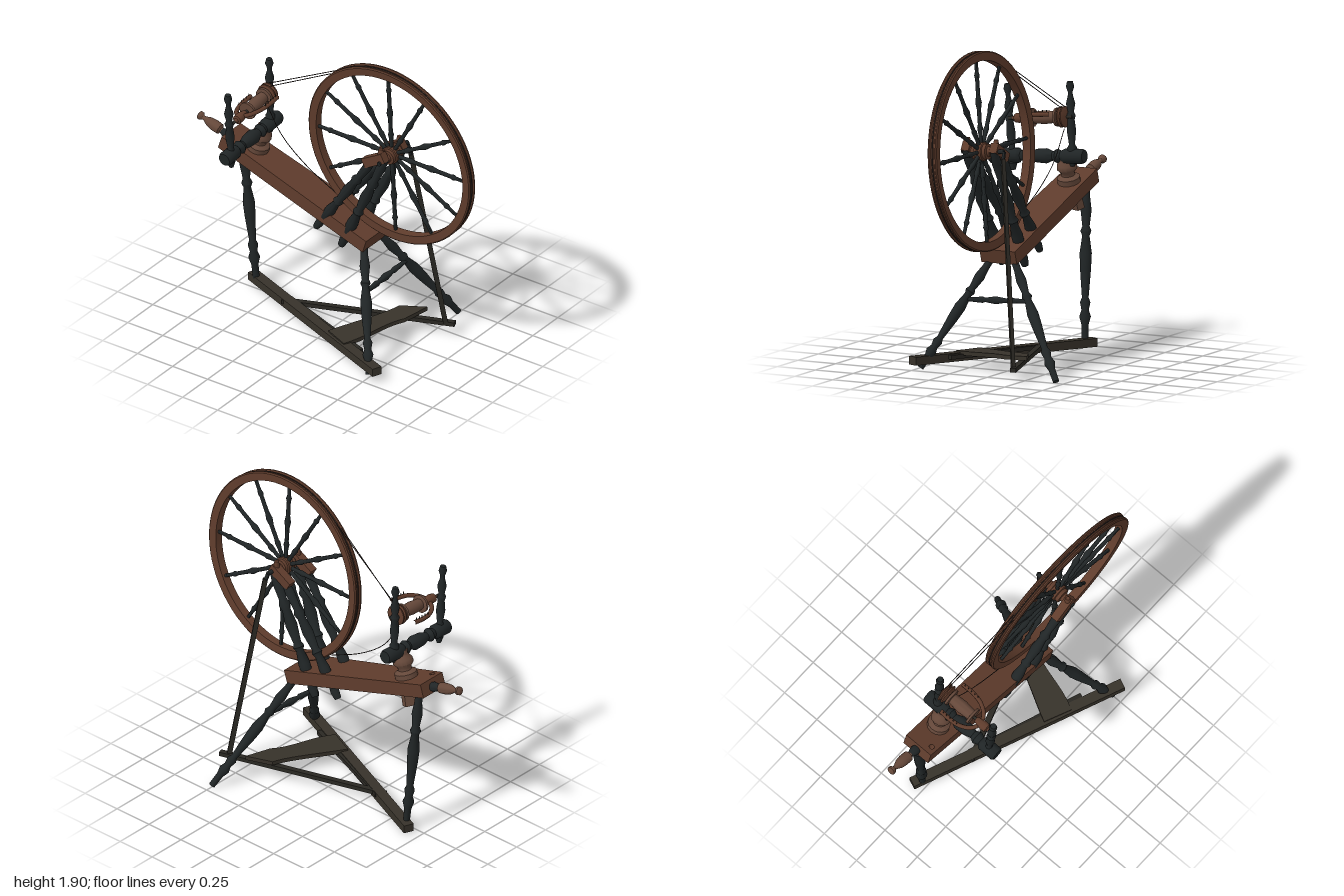
import * as THREE from 'three';
import { toCreasedNormals } from 'three/addons/utils/BufferGeometryUtils.js';

const V = (x, y, z) => new THREE.Vector3(x, y, z);
const mat = (name, color, side = THREE.FrontSide) => {
  const m = new THREE.MeshStandardMaterial({ color, side });
  m.name = name;
  return m;
};

// Lathe profiles: [position along the part 0..1, fraction of the full radius]
const P = {
  spoke: [[0, .7], [.12, .7], [.2, 1], [.24, .7], [.42, .75], [.5, 1.15], [.58, .75], [.78, .7], [.82, 1], [.86, .65], [1, .6]],
  leg: [[0, .55], [.1, .6], [.15, .95], [.19, .6], [.24, .85], [.27, .55], [.45, .9], [.55, 1], [.66, .6], [.69, .9], [.72, .6], [.82, .9], [.9, .65], [1, .6]],
  post: [[0, .6], [.06, .8], [.12, .55], [.16, .9], [.26, 1], [.36, .65], [.39, .95], [.42, .65], [.56, 1], [.68, .7], [.72, 1], [.76, .65], [.9, .85], [1, .6]],
  maiden: [[0, .45], [.08, .9], [.12, .5], [.16, 1], [.22, 1], [.26, .6], [.42, .95], [.55, .7], [.6, .95], [.64, .6], [.74, .95], [.84, .5], [.88, .5], [.94, .85], [1, .6]],
  rail: [[0, .85], [.02, 1], [.2, 1], [.23, .65], [.29, .95], [.34, .6], [.42, .9], [.54, 1], [.62, .6], [.67, .95], [.72, .7], [.77, 1], [.97, 1], [1, .85]],
  stretcher: [[0, .5], [.15, .6], [.3, .8], [.34, .55], [.5, 1], [.66, .55], [.7, .8], [.85, .6], [1, .5]],
  handle: [[0, .45], [.2, .5], [.24, .95], [.45, 1], [.62, .85], [.78, .4], [.84, .4], [.9, .75], [.97, .75], [1, .4]],
  vase: [[0, .6], [.1, 1], [.28, 1], [.36, .6], [.45, .6], [.58, .9], [.72, .85], [.85, .55], [1, .6]],
  plain: [[0, 1], [1, 1]],
  taper: [[0, .25], [.2, .5], [.25, .9], [.5, 1], [.75, .85], [1, .6]],
  hub: [[0, .5], [.12, .55], [.14, .85], [.3, .85], [.33, 1], [.67, 1], [.7, .85], [.86, .85], [.88, .55], [1, .5]],
  bobbin: [[0, 1.3], [.08, 1.3], [.1, .8], [.5, .95], [.9, .8], [.92, 1.3], [1, 1.3]],
  whorl: [[0, .6], [.2, 1], [.35, 1], [.5, .8], [.65, 1], [.8, 1], [1, .5]],
};

export function createModel() {
  const model = new THREE.Group();
  model.name = 'spinningWheel';
  const brown = mat('brownWood', 0x5f3c2c);
  const light = mat('wornBrownWood', 0x65483a);
  const dark = mat('blackenedWood', 0x202526);
  const olive = mat('footWood', 0x37322a);
  const rodWood = mat('rodWood', 0x2a2823);
  const thread = mat('thread', 0x2b2320);

  const add = (geo, m, name, parent = model) => {
    const mesh = new THREE.Mesh(geo, m);
    mesh.name = name;
    parent.add(mesh);
    return mesh;
  };
  // Turned part running from a to b
  const turned = (name, a, b, r, profile, m, parent = model, sides = 14) => {
    const L = a.distanceTo(b);
    const pts = profile.map(([t, k]) => new THREE.Vector2(k * r, t * L));
    pts.unshift(new THREE.Vector2(0, 0));
    pts.push(new THREE.Vector2(0, L));
    const mesh = add(toCreasedNormals(new THREE.LatheGeometry(pts, sides), 0.8), m, name, parent);
    mesh.position.copy(a);
    mesh.quaternion.setFromUnitVectors(V(0, 1, 0), b.clone().sub(a).normalize());
    return mesh;
  };
  // Square beam running from a to b
  const beam = (name, a, b, w, h, m) => {
    const mesh = add(new THREE.BoxGeometry(w, h, a.distanceTo(b)), m, name);
    mesh.position.copy(a).lerp(b, .5);
    mesh.lookAt(b);
    return mesh;
  };
  const tube = (name, pts, r, m, n = 24) =>
    add(new THREE.TubeGeometry(new THREE.CatmullRomCurve3(pts), n, r, 6), m, name);

  // Drive wheel: rim, band grooves, hub, axle and twelve spokes
  const wheel = new THREE.Group();
  wheel.name = 'driveWheel';
  wheel.position.set(-.085, 1.3, .412);
  wheel.rotation.set(0, -.02, .068);
  model.add(wheel);
  const rimProfile = [[.53, -.026], [.578, -.03], [.585, -.024], [.585, -.016], [.578, -.01], [.578, .01],
    [.585, .016], [.585, .024], [.578, .03], [.53, .026], [.53, -.026]].map(p => new THREE.Vector2(...p));
  const rim = new THREE.LatheGeometry(rimProfile, 72);
  rim.rotateZ(-Math.PI / 2);
  add(toCreasedNormals(rim, .6), brown, 'rim', wheel);
  const groove = new THREE.TorusGeometry(.579, .004, 6, 72);
  groove.rotateY(Math.PI / 2);
  add(groove, thread, 'wheelBand', wheel);
  turned('hub', V(-.065, 0, 0), V(.065, 0, 0), .055, P.hub, brown, wheel);
  turned('axle', V(-.13, 0, 0), V(.15, 0, 0), .013, P.plain, dark, wheel);
  for (let i = 0; i < 12; i++) {
    const a = i * Math.PI / 6, s = Math.sin(a), c = Math.cos(a);
    turned('spoke', V(0, s * .04, c * .04), V(0, s * .535, c * .535), .017, P.spoke, dark, wheel, 10);
  }

  // Sloping table board with a hole near the raised end
  const board = new THREE.Shape([[-.117, 0], [.117, 0], [.095, 1.1], [-.095, 1.1]].map(p => new THREE.Vector2(...p)));
  const hole = new THREE.Path();
  hole.absarc(-.06, 1.05, .016, 0, Math.PI * 2, true);
  board.holes.push(hole);
  const boardGeo = new THREE.ExtrudeGeometry(board, { depth: .085, bevelEnabled: false });
  boardGeo.rotateX(-Math.PI / 2);
  const table = add(boardGeo, brown, 'table');
  table.position.set(-.05, .62, .26);
  table.rotation.x = .309;

  // End handle with a dark neck
  turned('handleNeck', V(-.045, .98, -.75), V(-.045, 1.005, -.83), .03, P.taper, dark);
  turned('tensionHandle', V(-.045, .995, -.795), V(-.04, 1.055, -1), .034, P.handle, light);

  // Three legs and the stretcher
  turned('frontLegLeft', V(.455, 0, .5), V(.03, .65, .23), .034, P.leg, dark);
  turned('frontLegRight', V(-.44, .01, .5), V(-.11, .65, .23), .034, P.leg, dark);
  turned('backLeg', V(.03, .04, -.64), V(0, .96, -.715), .036, P.leg, dark);
  turned('stretcher', V(-.25, .405, .33), V(.18, .425, .33), .023, P.stretcher, dark);

  // Wheel posts, braces and bearing blocks on both sides of the wheel
  for (const [low, high] of [[-.125, -.18], [.025, .005]]) {
    turned('wheelPost', V(low, .59, .08), V(high, 1.31, .43), .035, P.post, dark);
    turned('wheelBrace', V(low, .65, -.1), V(high, 1.27, .34), .033, P.post, dark);
    beam('bearingBlock', V(high, 1.33, .43), V(high, 1.25, .29), .05, .06, brown);
    turned('bearingPeg', V(high, 1.29, .4), V(high, 1.375, .4), .02, P.taper, brown);
  }

  // Crank and connecting rod to the treadle
  beam('crank', V(.065, 1.31, .412), V(.068, 1.23, .44), .015, .02, dark);
  beam('connectingRod', V(.068, 1.27, .43), V(.215, .07, .58), .022, .028, rodWood);

  // Foot bar, treadle rail and treadle arm
  beam('footBar', V(-.455, .06, .57), V(.065, .026, -.69), .062, .05, olive);
  beam('treadleRail', V(-.32, .06, .36), V(-.06, .045, -.33), .028, .025, rodWood);
  beam('treadleArm', V(-.1, .045, -.36), V(.24, .068, .63), .034, .026, rodWood);

  // Curved treadle plate, rising toward the arm
  const plate = new THREE.Shape();
  plate.moveTo(-.34, -.25);
  plate.bezierCurveTo(-.2, -.33, -.05, -.32, .06, -.4);
  plate.lineTo(.23, -.44);
  plate.lineTo(.16, -.29);
  plate.bezierCurveTo(.05, -.27, -.12, -.16, -.27, -.09);
  plate.closePath();
  const plateGeo = new THREE.ExtrudeGeometry(plate, { depth: .025, bevelEnabled: false, curveSegments: 10 });
  plateGeo.rotateX(-Math.PI / 2);
  const pos = plateGeo.attributes.position;
  for (let i = 0; i < pos.count; i++) pos.setY(i, pos.getY(i) + .077 + .055 * pos.getX(i) + .03 * (pos.getZ(i) - .25));
  plateGeo.computeVertexNormals();
  add(plateGeo, olive, 'treadlePlate');

  // Flyer support: vase, peg, cross rail and the two maidens
  turned('supportVase', V(-.04, .955, -.585), V(-.04, 1.14, -.53), .068, P.vase, light);
  beam('supportPeg', V(-.035, 1, -.575), V(-.01, .815, -.63), .07, .05, light);
  turned('crossRail', V(-.45, 1.11, -.525), V(.09, 1.145, -.525), .044, P.rail, dark, model, 18);
  turned('maidenRight', V(-.378, 1.03, -.525), V(-.418, 1.535, -.522), .029, P.maiden, dark);
  turned('maidenLeft', V(.012, 1.08, -.525), V(-.005, 1.58, -.522), .029, P.maiden, dark);

  // Spindle, bobbin, whorl and U-shaped flyer
  const axis = x => V(x, 1.375 + x * .1, -.505);
  turned('spindle', axis(-.4), axis(.02), .01, P.plain, rodWood);
  turned('flyerNose', axis(-.38), axis(-.27), .03, P.taper, brown);
  turned('bobbin', axis(-.25), axis(-.07), .042, P.bobbin, light, model, 18);
  turned('whorl', axis(-.065), axis(-.015), .062, P.whorl, brown, model, 22);
  const arm = (x, s) => axis(x).add(V(0, -s * .03, -s * .095));
  tube('flyer', [arm(-.08, 1), arm(-.16, 1.02), arm(-.23, .88), arm(-.285, .5), axis(-.305),
    arm(-.285, -.5), arm(-.23, -.88), arm(-.16, -1.02), arm(-.08, -1)], .014, brown, 40);
  for (const s of [-1, 1]) for (let i = 0; i < 5; i++) {
    const p = arm(-.1 - i * .025, s);
    turned('flyerHook', p, p.clone().add(V(0, .026, 0)), .003, P.plain, rodWood, model, 5);
  }

  // Drive band between wheel and whorl
  tube('driveBandUpper', [V(-.115, 1.715, 0), V(-.04, 1.425, -.485)], .0025, thread, 2);
  tube('driveBandUpperSecond', [V(-.1, 1.735, .02), V(-.03, 1.43, -.51)], .0025, thread, 2);
  tube('driveBandLower', [V(-.055, .86, .02), V(-.05, .98, -.22), V(-.045, 1.12, -.4), V(-.04, 1.3, -.52)], .0025, thread);
  return model;
}
